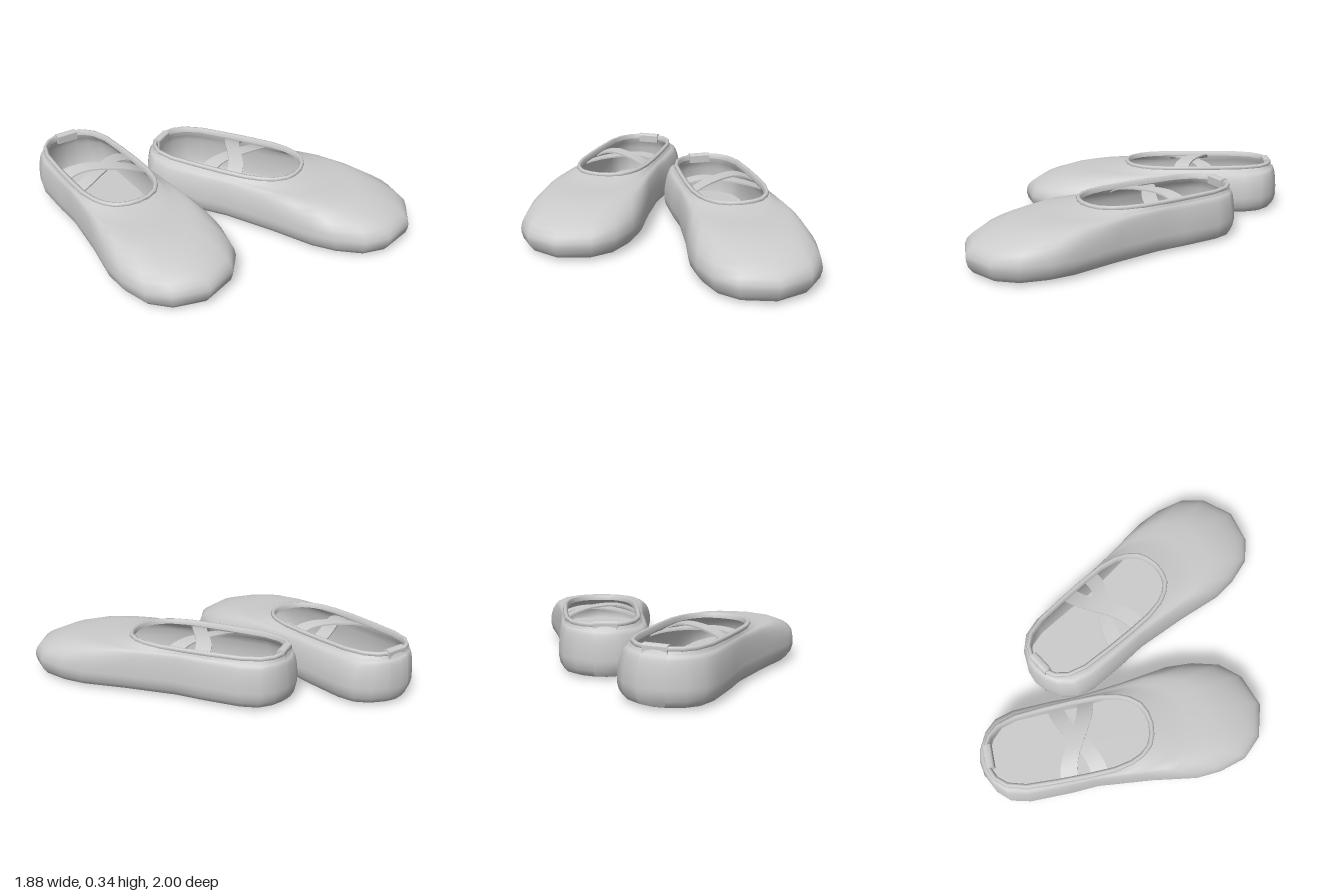
import * as THREE from 'three';
import { toCreasedNormals } from 'three/addons/utils/BufferGeometryUtils.js';

const material = new THREE.MeshStandardMaterial({ color: 0xcccccc, side: THREE.DoubleSide });
const lerp = THREE.MathUtils.lerp;

// Half plan from toe to heel: [girth x, girth z, opening x, opening z]
const PLAN = [
  [0, 0.77, 0, 0.06], [0.2, 0.705, 0.07, 0.05], [0.305, 0.59, 0.135, 0.02],
  [0.352, 0.42, 0.185, -0.04], [0.36, 0.27, 0.215, -0.11], [0.315, 0, 0.235, -0.22],
  [0.278, -0.33, 0.237, -0.38], [0.284, -0.5, 0.232, -0.55], [0.28, -0.75, 0.22, -0.74],
  [0.25, -0.865, 0.185, -0.855], [0.18, -0.94, 0.13, -0.918], [0.09, -0.985, 0.07, -0.945],
  [0, -1, 0, -0.95],
];
const LOOP = [...PLAN, ...PLAN.slice(1, -1).reverse().map(([a, b, c, d]) => [-a, b, -c, d])];
const GIRTH_Y = 0.12, RIM_Y = 0.318;

function mesh(name, geometry) {
  const m = new THREE.Mesh(geometry, material);
  m.name = name;
  return m;
}

// Skin a stack of point rows; closed rows join their last point to the first
function loft(rows, closed = true) {
  const n = rows[0].length, index = [];
  for (let r = 0; r < rows.length - 1; r++) {
    for (let c = 0; c < (closed ? n : n - 1); c++) {
      const a = r * n + c, b = r * n + (c + 1) % n;
      index.push(a, b, b + n, a, b + n, a + n);
    }
  }
  const g = new THREE.BufferGeometry();
  g.setAttribute('position', new THREE.Float32BufferAttribute(rows.flat(2), 3));
  g.setIndex(index);
  g.computeVertexNormals();
  return g;
}

// Move a plan point toward the shoe's spine by factor k
function inset(x, z, k, zMin, zMax, cx = 0) {
  const sz = THREE.MathUtils.clamp(z, zMin, zMax);
  return [cx + (x - cx) * k, sz + (z - sz) * k];
}

// Ring round the widest outline
const girthRing = (k, y) => LOOP.map(([x, z]) => {
  const p = inset(x, z, k, -0.72, 0.41);
  return [p[0], y, p[1]];
});

// Ring round the opening
const rimRing = (k, y, cx) => LOOP.map(([, , x, z]) => {
  const p = inset(x + cx, z, k, -0.73, -0.17, cx);
  return [p[0], y, p[1]];
});

// Ring part way from the girth (s = 1) to the opening (s = 0), on a rounded profile
const upperRing = (s, cx, k = 1, drop = 0) => LOOP.map(([ox, oz, rx, rz]) => {
  const x = lerp(rx + cx, ox, s), z = lerp(rz, oz, s);
  const p = inset(x, z, k, -0.72, 0.41);
  const rise = Math.pow(1 - Math.pow(s, 1.9), 1 / 1.9) - 0.09 * Math.sin(Math.PI * Math.min(1, s * 2));
  return [p[0], GIRTH_Y + (RIM_Y - 0.006 - GIRTH_Y) * rise - drop, p[1]];
});

// Elastic band arching from one wall of the opening to the other
function strap(dir, lift, cx) {
  const rows = [], steps = 16, half = 0.05, thick = 0.01;
  for (let i = 0; i <= steps; i++) {
    const u = i / steps * 2 - 1;
    const x = cx + u * 0.228;
    const z = -0.4 + dir * 0.09 * Math.sin(u * Math.PI / 2);
    const y = 0.275 + (0.05 + lift) * (1 - Math.pow(Math.abs(u), 2.5));
    rows.push([[x, y, z - half], [x, y + thick, z - half], [x, y + thick, z + half], [x, y, z + half]]);
  }
  return toCreasedNormals(loft(rows), 0.7);
}

// Thin oval pad under the sole
function pad(name, rx, rz, z) {
  const m = mesh(name, new THREE.CylinderGeometry(1, 1, 0.012, 28));
  m.scale.set(rx, 1, rz);
  m.position.set(0, 0.006, z);
  return m;
}

function shoe(name, side) {
  const g = new THREE.Group();
  g.name = name;
  const cx = -0.015 * side;

  // Soft body: flat underside, rolled edge, domed vamp up to the opening
  const lower = [[0, 0.01], [0.5, 0.01], [0.8, 0.01], [0.9, 0.022], [0.97, 0.055], [1, 0.095]]
    .map(([k, y]) => girthRing(k, y));
  const upper = [1, 0.98, 0.94, 0.87, 0.77, 0.64, 0.48, 0.3, 0.14, 0].map((s) => upperRing(s, cx));
  g.add(mesh('body', loft([...lower, ...upper])));

  // Rolled binding round the opening
  const binding = [[1, 0.305], [1.03, 0.317], [1.01, 0.329], [0.96, 0.332], [0.91, 0.327], [0.9, 0.3]]
    .map(([k, y]) => rimRing(k, y, cx));
  g.add(mesh('binding', loft(binding)));

  // Lining and insole
  const lining = [rimRing(0.91, 0.31, cx), ...[0.25, 0.5, 0.75, 0.92].map((s) => upperRing(s, cx, 0.91, 0.02)),
    girthRing(0.91, 0.1), girthRing(0.88, 0.05)];
  g.add(mesh('lining', loft(lining)));
  g.add(mesh('insole', loft([0.89, 0.5, 0].map((k) => girthRing(k, 0.05)))));

  // Raised strip down the back of the heel
  const swell = ([x, y, z]) => [x * 0.9, y, z - 0.006];
  const strip = [...lower.slice(3), ...upper].map((ring) => ring.slice(11, 14).map(swell));
  g.add(mesh('heelStrip', loft(strip, false)));

  // Pull tab folded over the heel binding
  const tab = new THREE.Shape();
  tab.moveTo(-0.025, -0.04);
  tab.lineTo(-0.025, 0.008);
  tab.quadraticCurveTo(-0.022, 0.02, 0, 0.02);
  tab.quadraticCurveTo(0.022, 0.02, 0.025, 0.008);
  tab.lineTo(0.025, -0.04);
  const tabGeometry = new THREE.ExtrudeGeometry(tab, { depth: 0.14, bevelEnabled: false, curveSegments: 5 });
  tabGeometry.translate(0, 0, -0.07).rotateY(Math.PI / 2);
  const pullTab = mesh('pullTab', tabGeometry);
  pullTab.position.set(cx * 0.5, 0.32, -0.93);
  g.add(pullTab);

  // Crossed elastic straps
  g.add(mesh('upperStrap', strap(side, 0.008, cx)));
  g.add(mesh('lowerStrap', strap(-side, -0.006, cx)));

  // Sole pads
  g.add(pad('forefootPad', 0.24, 0.3, 0.34), pad('heelPad', 0.18, 0.2, -0.68));
  return g;
}

export function createModel() {
  const model = new THREE.Group();
  model.name = 'pairOfSlippers';
  const right = shoe('rightSlipper', 1);
  right.position.set(-0.57, 0, 0);
  const left = shoe('leftSlipper', -1);
  left.position.set(0.388, 0, 0.284);
  left.rotation.y = Math.PI / 6;
  model.add(right, left);
  return model;
}
